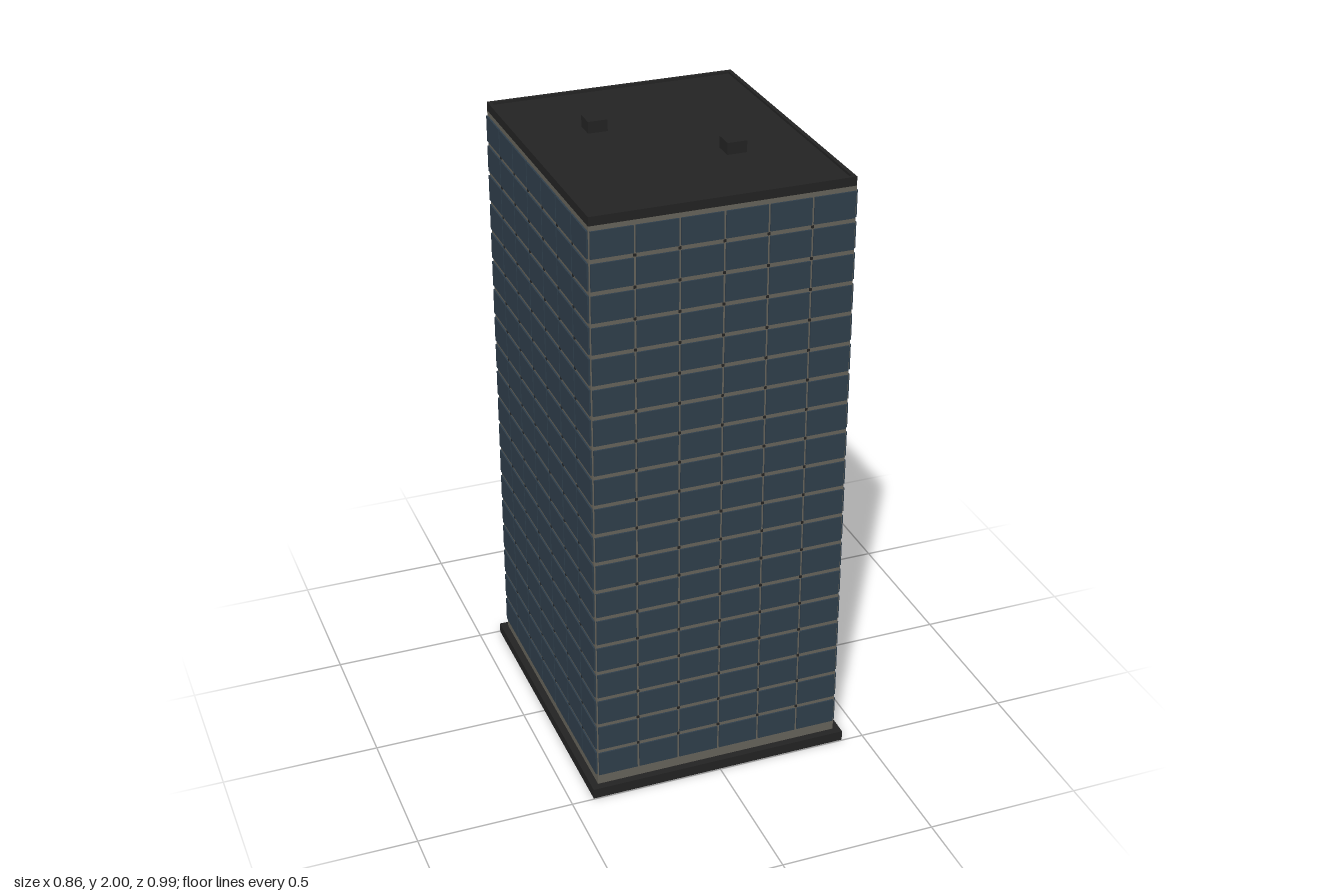
import * as THREE from 'three';

export function createModel() {
  const material = (name, color) => {
    const m = new THREE.MeshStandardMaterial({ color });
    m.name = name;
    return m;
  };
  const dark = material('charcoal', 0x232323);
  const stone = material('warm stone', 0x66635a);
  const glass = material('blue glass', 0x2f3e4b);

  const model = new THREE.Group();
  model.name = 'officeTower';
  const box = (parent, name, mat, size, pos) => {
    const mesh = new THREE.Mesh(new THREE.BoxGeometry(...size), mat);
    mesh.name = name;
    mesh.position.set(...pos);
    parent.add(mesh);
    return mesh;
  };

  const halfX = 0.405, halfZ = 0.473;
  const bottom = 0.07, top = 1.943, rows = 19;
  const pitch = (top - bottom) / rows, sill = 0.015;

  // Base slab and stone core
  box(model, 'baseSlab', dark, [0.856, 0.034, 0.994], [0, 0.017, 0]);
  box(model, 'core', stone, [halfX * 2, top - 0.034, halfZ * 2], [0, (top + 0.034) / 2, 0]);

  // One facade: a grid of raised glass panes with small dark joints between sills
  function facade(name, width, columns) {
    const group = new THREE.Group();
    group.name = name;
    const cell = width / columns;
    const pane = new THREE.BoxGeometry(cell - 0.007, pitch - sill, 0.008);
    const joint = new THREE.BoxGeometry(0.008, 0.008, 0.008);
    for (let r = 0; r < rows; r++) {
      const y = bottom + r * pitch;
      for (let c = 0; c < columns; c++) {
        const mesh = new THREE.Mesh(pane, glass);
        mesh.name = 'windowPane';
        mesh.position.set((c + 0.5) * cell - width / 2, y + (pitch - sill) / 2, 0.001);
        group.add(mesh);
      }
      for (let c = 1; c < columns && r < rows - 1; c++) {
        const mesh = new THREE.Mesh(joint, dark);
        mesh.name = 'sillJoint';
        mesh.position.set(c * cell - width / 2, y + pitch - sill / 2, -0.001);
        group.add(mesh);
      }
    }
    model.add(group);
    return group;
  }
  for (const s of [1, -1]) {
    const wide = facade(s > 0 ? 'frontFacade' : 'backFacade', halfX * 2, 6);
    wide.position.z = s * halfZ;
    wide.rotation.y = s > 0 ? 0 : Math.PI;
    const side = facade(s > 0 ? 'leftFacade' : 'rightFacade', halfZ * 2, 7);
    side.position.x = s * halfX;
    side.rotation.y = s * Math.PI / 2;
  }

  // Flat roof with a low parapet rim
  box(model, 'roof', dark, [halfX * 2, 0.02, halfZ * 2], [0, top + 0.01, 0]);
  for (const s of [1, -1]) {
    box(model, 'parapetSide', dark, [0.012, 0.028, halfZ * 2], [s * (halfX - 0.006), top + 0.014, 0]);
    box(model, 'parapetEnd', dark, [halfX * 2 - 0.024, 0.028, 0.012], [0, top + 0.014, s * (halfZ - 0.006)]);
  }

  // Rooftop vents
  for (const [x, z] of [[-0.164, -0.16], [0.16, 0.143]])
    box(model, 'roofVent', dark, [0.062, 0.045, 0.062], [x, 1.9775, z]);

  return model;
}
